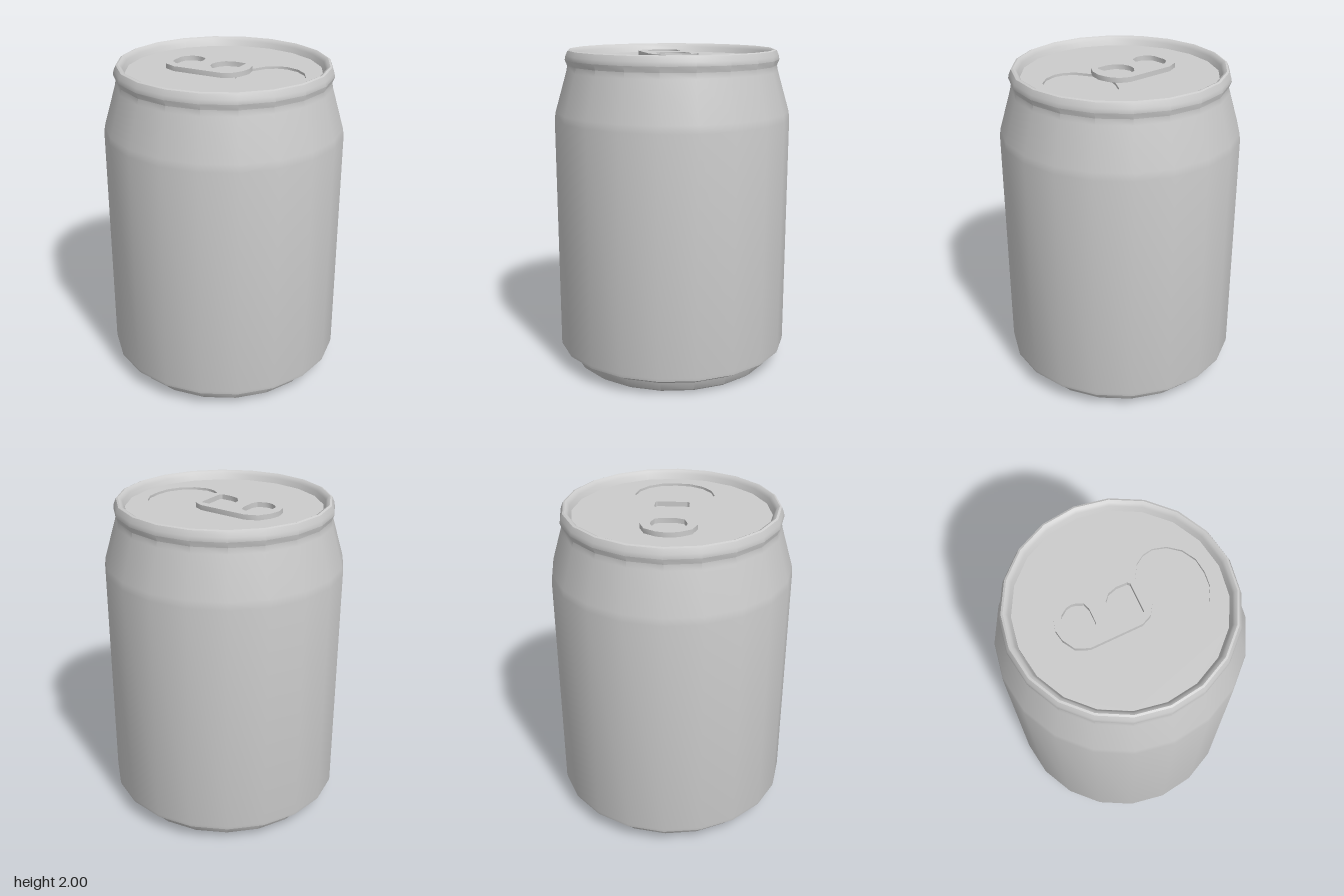
import * as THREE from 'three';
import { toCreasedNormals } from 'three/addons/utils/BufferGeometryUtils.js';

const SIDES = 20;
const LID_Y = 1.945;
const STEP = 0.015;
const material = new THREE.MeshStandardMaterial({ color: 0xcccccc });

const vectors = (list) => list.map(([x, y]) => new THREE.Vector2(x, y));

// Closes a half outline (y >= 0) by mirroring it across the x axis
function mirrored(half) {
  const other = half.filter(([, y]) => y > 0).reverse().map(([x, y]) => [x, -y]);
  return vectors([...half, ...other]);
}

// Extrudes a flat outline upwards from height y
function slab(name, shape, y, depth) {
  const geometry = new THREE.ExtrudeGeometry(shape, { depth, bevelEnabled: false });
  geometry.rotateX(-Math.PI / 2);
  const mesh = new THREE.Mesh(toCreasedNormals(geometry, 0.7), material);
  mesh.name = name;
  mesh.position.y = y;
  return mesh;
}

export function createModel() {
  const can = new THREE.Group();
  can.name = 'drinkCan';

  // Body: domed underside, foot, wall, shoulder, neck and rolled rim
  const profile = vectors([
    [0, 0.16], [0.2, 0.145], [0.38, 0.105], [0.51, 0.055], [0.585, 0.012],
    [0.6, 0], [0.62, 0], [0.64, 0.015], [0.66, 0.07],
    [0.73, 0.11], [0.733, 0.13], [0.733, 1.58], [0.727, 1.625],
    [0.655, 1.87], [0.648, 1.905], [0.662, 1.94], [0.657, 1.965],
    [0.644, 1.995], [0.632, 2], [0.618, 1.993], [0.607, 1.975], [0.59, LID_Y - STEP],
  ]);
  const body = new THREE.Mesh(
    toCreasedNormals(new THREE.LatheGeometry(profile, SIDES), 0.6), material);
  body.name = 'body';
  can.add(body);

  // Lid with a shallow teardrop recess for the mouth
  const rim = Array.from({ length: SIDES }, (_, i) => {
    const a = (i / SIDES) * Math.PI * 2;
    return new THREE.Vector2(0.594 * Math.cos(a), 0.594 * Math.sin(a));
  });
  const mouth = mirrored([
    [0.505, 0], [0.495, 0.09], [0.45, 0.17], [0.38, 0.225], [0.3, 0.246],
    [0.24, 0.233], [0.185, 0.195], [0.13, 0.1], [0.1, 0],
  ]);
  const lidShape = new THREE.Shape(rim);
  lidShape.holes.push(new THREE.Path(mouth));
  can.add(slab('lid', lidShape, LID_Y - STEP, STEP));
  can.add(slab('mouthPanel', new THREE.Shape(mouth), LID_Y - 2 * STEP, STEP));

  // Pull tab with an oval finger hole and a D-shaped rivet hole
  const tabShape = new THREE.Shape(mirrored([
    [0.17, 0], [0.155, 0.07], [0.12, 0.125], [0.06, 0.154], [-0.25, 0.166],
    [-0.325, 0.135], [-0.367, 0.065], [-0.38, 0],
  ]));
  const holes = [
    [[-0.165, 0.045], [-0.18, 0.085], [-0.22, 0.102], [-0.245, 0.106],
      [-0.275, 0.1], [-0.315, 0.07], [-0.326, 0.04]],
    [[0.097, 0.09], [0.085, 0.103], [0.02, 0.103], [-0.035, 0.085],
      [-0.068, 0.045], [-0.08, 0]],
  ];
  holes.forEach((half) => tabShape.holes.push(new THREE.Path(mirrored(half))));
  can.add(slab('pullTab', tabShape, LID_Y, 0.03));

  return can;
}
